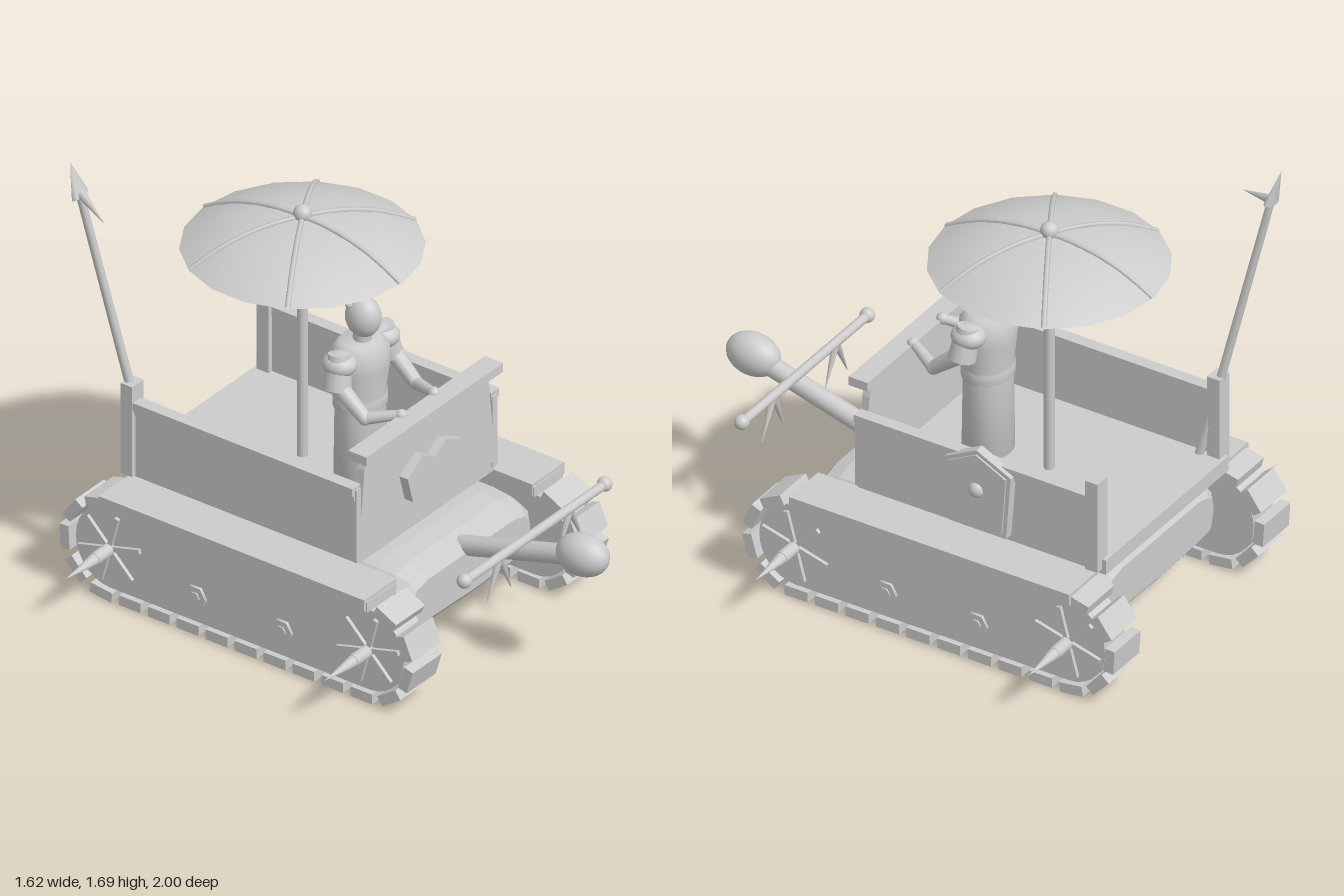
import * as THREE from 'three';

const grey = new THREE.MeshStandardMaterial({ color: 0xcccccc });
grey.name = 'plain grey';

function add(parent, name, geometry, x = 0, y = 0, z = 0) {
  const mesh = new THREE.Mesh(geometry, grey);
  mesh.name = name;
  mesh.position.set(x, y, z);
  parent.add(mesh);
  return mesh;
}

// Box given by its minimum and maximum corners
function block(parent, name, a, b) {
  const [w, h, d] = a.map((v, i) => Math.abs(b[i] - v));
  return add(parent, name, new THREE.BoxGeometry(w, h, d),
    (a[0] + b[0]) / 2, (a[1] + b[1]) / 2, (a[2] + b[2]) / 2);
}

// Round bar or cone between two points
function rod(parent, name, from, to, r0, r1 = r0, sides = 12) {
  const a = new THREE.Vector3(...from), b = new THREE.Vector3(...to);
  const dir = b.clone().sub(a);
  const mesh = add(parent, name, new THREE.CylinderGeometry(r1, r0, dir.length(), sides));
  mesh.position.copy(a).add(b).multiplyScalar(0.5);
  mesh.quaternion.setFromUnitVectors(new THREE.Vector3(0, 1, 0), dir.normalize());
  return mesh;
}

function ball(parent, name, pos, rx, ry = rx, rz = rx) {
  const mesh = add(parent, name, new THREE.SphereGeometry(1, 20, 14), ...pos);
  mesh.scale.set(rx, ry, rz);
  return mesh;
}

function plate(points, depth) {
  const shape = new THREE.Shape(points.map(([x, y]) => new THREE.Vector2(x, y)));
  return new THREE.ExtrudeGeometry(shape, { depth, bevelEnabled: false });
}

// Outline drawn in (z, y), thickness running along x from x0 to x1
function sidePlate(points, x0, x1) {
  return plate(points, x1 - x0).rotateY(-Math.PI / 2).translate(x1, 0, 0);
}

const WHEEL_Y = 0.215, FRONT = 0.365, REAR = -0.775;

function buildTrack(s) {
  const track = new THREE.Group();
  track.name = s > 0 ? 'leftTrack' : 'rightTrack';

  // Pill-shaped side body
  const pill = [];
  for (let i = 0; i <= 14; i++) {
    const a = -Math.PI / 2 + Math.PI * i / 14;
    pill.push([FRONT + 0.152 * Math.cos(a), WHEEL_Y + 0.165 * Math.sin(a)]);
  }
  for (let i = 0; i <= 14; i++) {
    const a = Math.PI / 2 + Math.PI * i / 14;
    pill.push([REAR + 0.152 * Math.cos(a), WHEEL_Y + 0.165 * Math.sin(a)]);
  }
  const [x0, x1] = s > 0 ? [0.42, 0.55] : [-0.55, -0.42];
  add(track, 'trackBody', sidePlate(pill, x0, x1));

  // Tread blocks spaced around the loop
  const r = 0.185, run = FRONT - REAR, arc = Math.PI * r;
  const total = 2 * (run + arc), count = 27;
  for (let i = 0; i < count; i++) {
    let d = (run - 0.017 + i * total / count) % total;
    let z, y, turn;
    if (d < run) { z = REAR + d; y = WHEEL_Y - r; turn = 0; }
    else if (d < run + arc) {
      turn = (d - run) / r;
      z = FRONT + r * Math.sin(turn); y = WHEEL_Y - r * Math.cos(turn);
    } else if (d < 2 * run + arc) { z = FRONT - (d - run - arc); y = WHEEL_Y + r; turn = Math.PI; }
    else {
      turn = Math.PI + (d - 2 * run - arc) / r;
      z = REAR + r * Math.sin(turn); y = WHEEL_Y - r * Math.cos(turn);
    }
    const tread = add(track, 'tread', new THREE.BoxGeometry(0.17, 0.04, 0.096), s * 0.488, y, z);
    tread.rotation.x = -turn;
  }

  // Spoked wheels with hub spikes
  for (const z of [FRONT, REAR]) {
    for (let i = 0; i < 6; i++) {
      const a = (15 + 60 * i) * Math.PI / 180;
      const spoke = add(track, 'spoke', new THREE.BoxGeometry(0.016, 0.018, 0.14),
        s * 0.556, WHEEL_Y + 0.07 * Math.sin(a), z + 0.07 * Math.cos(a));
      spoke.rotation.x = -a;
    }
    rod(track, 'hub', [s * 0.54, 0.212, z], [s * 0.645, 0.212, z], 0.025);
    rod(track, 'hubSpike', [s * 0.63, 0.212, z], [s * 0.81, 0.212, z], 0.025, 0);
  }

  // Small hexagonal rollers
  for (const z of [-0.015, -0.395]) {
    rod(track, 'roller', [s * 0.54, 0.155, z], [s * 0.562, 0.155, z], 0.047, 0.047, 6);
    rod(track, 'rollerCap', [s * 0.55, 0.155, z], [s * 0.568, 0.155, z], 0.024, 0.024, 6);
  }
  block(track, 'fender', [s * 0.395, 0.388, -0.8], [s * 0.585, 0.435, 0.37]);
  return track;
}

function buildHull() {
  const half = [[0.22, 0.15], [0.34, 0.16], [0.375, 0.19], [0.4, 0.29], [0.385, 0.36], [0.34, 0.405], [0.26, 0.425]];
  const outline = [...half, ...half.slice().reverse().map(([x, y]) => [-x, y]), [0, 0.145]];
  const shape = new THREE.Shape(outline.map(([x, y]) => new THREE.Vector2(x, y)));
  const geo = new THREE.ExtrudeGeometry(shape, {
    depth: 0.89, bevelThickness: 0.16, bevelSize: 0.055, bevelOffset: -0.055, bevelSegments: 3,
  });
  return geo.translate(0, 0, -0.65);
}

function buildCart() {
  const cart = new THREE.Group();
  cart.name = 'cart';
  block(cart, 'floor', [-0.4, 0.43, -0.835], [0.4, 0.49, 0.2]);
  for (const s of [-1, 1]) {
    block(cart, 'sideWall', [s * 0.385, 0.45, -0.81], [s * 0.412, 0.74, 0.205]);
    block(cart, 'sideRail', [s * 0.382, 0.722, -0.82], [s * 0.43, 0.755, 0.2]);
    block(cart, 'sideTrim', [s * 0.385, 0.7, -0.81], [s * 0.42, 0.722, 0.2]);
    block(cart, 'rearPost', [s * 0.365, 0.45, -0.82], [s * 0.432, 0.82, -0.768]);
  }
  // Front board, its rail and the plaque
  const half = [[0.4, 0.47], [0.388, 0.575], [0.365, 0.8], [0.345, 0.86]];
  add(cart, 'frontBoard', plate([...half, ...half.slice().reverse().map(([x, y]) => [-x, y])], 0.03), 0, 0, 0.175);
  block(cart, 'frontRail', [-0.4, 0.85, 0.16], [0.4, 0.886, 0.24]);
  add(cart, 'plaque', plate([[-0.13, 0.572], [0.13, 0.572], [0.16, 0.692], [0.065, 0.736],
    [0, 0.695], [-0.07, 0.736], [-0.16, 0.68]], 0.042), 0, 0, 0.2);

  // Shield hung on the left wall
  const shield = [[-0.325, 0.8], [-0.468, 0.73], [-0.448, 0.47], [-0.212, 0.47], [-0.19, 0.73]];
  const inner = shield.map(([z, y]) => [-0.328 + (z + 0.328) * 0.88, 0.635 + (y - 0.635) * 0.9]);
  add(cart, 'shield', sidePlate(shield, 0.41, 0.448));
  add(cart, 'shieldFace', sidePlate(inner, 0.445, 0.455));
  ball(cart, 'shieldBoss', [0.45, 0.637, -0.327], 0.026, 0.031, 0.031);
  return cart;
}

function buildParasol() {
  const parasol = new THREE.Group();
  parasol.name = 'parasol';
  parasol.position.z = -0.343;
  rod(parasol, 'parasolPole', [0, 0.48, 0], [0, 1.37, 0], 0.02);
  rod(parasol, 'collar', [0, 1.31, 0], [0, 1.36, 0], 0.036, 0.042);
  const arc = [[0.435, 1.352], [0.37, 1.388], [0.29, 1.424], [0.2, 1.45], [0.1, 1.466], [0, 1.47]];
  add(parasol, 'canopy', new THREE.LatheGeometry(arc.map(([r, y]) => new THREE.Vector2(r, y)), 18));
  const under = add(parasol, 'canopyUnderside', new THREE.CircleGeometry(0.435, 18), 0, 1.352, 0);
  under.rotation.x = Math.PI / 2;
  under.rotation.z = Math.PI / 2;
  // Six ribs over the canopy
  const path = new THREE.CatmullRomCurve3(arc.map(([r, y]) => new THREE.Vector3(0, y + 0.002, r * 0.99)));
  const ribGeo = new THREE.TubeGeometry(path, 12, 0.01, 6);
  for (let i = 0; i < 6; i++) add(parasol, 'rib', ribGeo).rotation.y = i * Math.PI / 3;
  ball(parasol, 'finial', [0, 1.485, 0], 0.033);
  return parasol;
}

function buildDriver() {
  const driver = new THREE.Group();
  driver.name = 'driver';
  const body = [[0, 0.48], [0.105, 0.48], [0.1, 0.8], [0.108, 0.805], [0.108, 0.845], [0.1, 0.85],
    [0.115, 0.96], [0.115, 1.03], [0.08, 1.065], [0, 1.07]];
  const torso = add(driver, 'robe', new THREE.LatheGeometry(body.map(([r, y]) => new THREE.Vector2(r, y)), 20), 0, 0, -0.088);
  torso.scale.z = 0.86;
  rod(driver, 'neck', [0, 1.04, -0.08], [0, 1.12, -0.078], 0.034);
  ball(driver, 'head', [0, 1.16, -0.075], 0.06, 0.08, 0.068);
  ball(driver, 'hair', [0, 1.205, -0.108], 0.045, 0.022, 0.037);
  for (const s of [-1, 1]) {
    rod(driver, 'sleeve', [s * 0.152, 0.935, -0.075], [s * 0.125, 1.06, -0.085], 0.052, 0.042);
    ball(driver, 'shoulder', [s * 0.125, 1.02, -0.085], 0.06, 0.045, 0.065);
    rod(driver, 'upperArm', [s * 0.155, 0.96, -0.08], [s * 0.15, 0.855, 0.045], 0.034, 0.026);
    ball(driver, 'elbow', [s * 0.15, 0.855, 0.045], 0.026);
    rod(driver, 'forearm', [s * 0.15, 0.855, 0.045], [s * 0.095, 0.885, 0.16], 0.024, 0.018);
    ball(driver, 'hand', [s * 0.095, 0.885, 0.165], 0.022);
  }
  return driver;
}

function buildSpear() {
  const spear = new THREE.Group();
  spear.name = 'spear';
  rod(spear, 'spearShaft', [-0.365, 0.48, -0.735], [-0.477, 1.58, -0.968], 0.018, 0.015, 8);
  rod(spear, 'spearHead', [-0.474, 1.56, -0.966], [-0.49, 1.695, -0.999], 0.045, 0, 8).scale.z = 0.4;
  rod(spear, 'spearHook', [-0.47, 1.575, -0.975], [-0.537, 1.525, -0.805], 0.02, 0, 8);
  return spear;
}

function buildRam() {
  const ram = new THREE.Group();
  ram.name = 'ram';
  rod(ram, 'ramPole', [0, 0.37, 0.34], [0, 0.518, 0.86], 0.037, 0.037, 16);
  ball(ram, 'ramHead', [0, 0.532, 0.893], 0.074, 0.08, 0.107).rotation.x = -0.08;
  rod(ram, 'crossBar', [-0.41, 0.543, 0.68], [0.41, 0.543, 0.68], 0.018);
  for (const s of [-1, 1]) {
    ball(ram, 'barKnob', [s * 0.41, 0.545, 0.68], 0.028);
    for (const foot of [0.138, 0.278]) {
      rod(ram, 'barSpike', [s * 0.205, 0.54, 0.68], [s * foot, 0.39, 0.68], 0.016, 0.002, 8);
    }
  }
  return ram;
}

export function createModel() {
  const model = new THREE.Group();
  model.name = 'trackedBattleCart';
  model.add(buildTrack(1), buildTrack(-1));
  add(model, 'hull', buildHull());
  model.add(buildCart(), buildParasol(), buildDriver(), buildSpear(), buildRam());
  return model;
}
